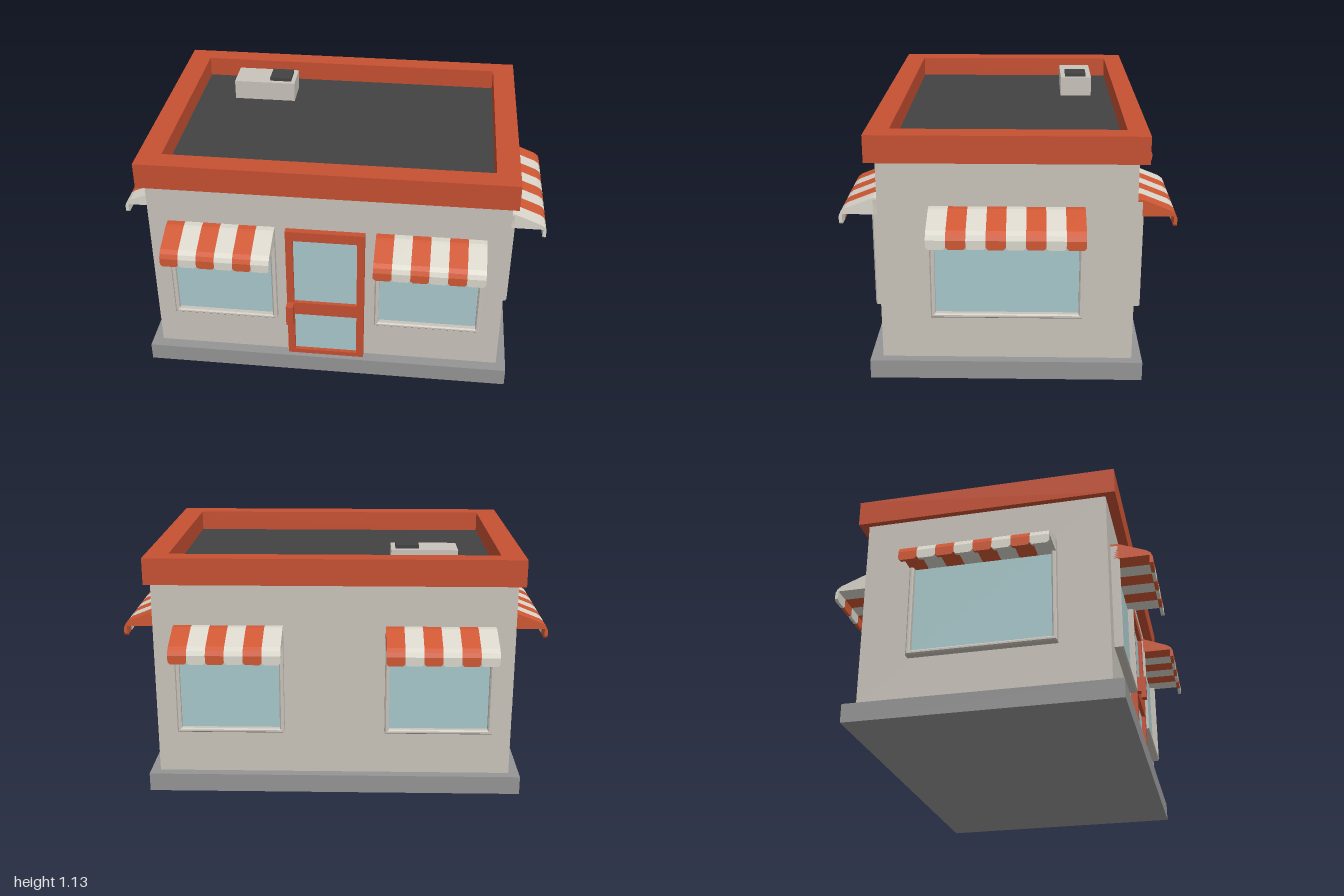
import * as THREE from 'three';

const material = (name, color) => {
  const m = new THREE.MeshStandardMaterial({ color });
  m.name = name;
  return m;
};
const wallMat = material('stucco', 0xc9c4bb);
const redMat = material('trim red', 0xc65032);
const awningRed = material('awning red', 0xd05834);
const awningPale = material('awning cream', 0xdad6cb);
const greyMat = material('concrete', 0x959595);
const darkMat = material('roof dark', 0x424242);
const glassMat = material('glass', 0xa8c8cb);

const add = (parent, name, geometry, mat) => {
  const mesh = new THREE.Mesh(geometry, mat);
  mesh.name = name;
  parent.add(mesh);
  return mesh;
};

// Box given by its limits on each axis
const box = (parent, name, mat, x0, x1, y0, y1, z0, z1) => {
  const mesh = add(parent, name, new THREE.BoxGeometry(x1 - x0, y1 - y0, z1 - z0), mat);
  mesh.position.set((x0 + x1) / 2, (y0 + y1) / 2, (z0 + z1) / 2);
  return mesh;
};

const polygon = (points) => new THREE.Shape(points.map(([x, y]) => new THREE.Vector2(x, y)));
const rect = (x0, x1, y0, y1) => polygon([[x0, y0], [x1, y0], [x1, y1], [x0, y1]]);

// Rectangular frame with rectangular openings, standing on the z = 0 plane
const frameGeometry = (outer, holes, depth, bevel = 0) => {
  const shape = rect(...outer);
  holes.forEach((h) => shape.holes.push(rect(...h)));
  return new THREE.ExtrudeGeometry(shape, {
    depth: depth - bevel,
    bevelEnabled: bevel > 0,
    bevelSize: bevel,
    bevelThickness: bevel,
    bevelOffset: -bevel,
    bevelSegments: 1,
  });
};

// Striped awning: a row of sloped solid strips, each with a clipped valance flap
const makeAwning = (width, count, redFirst) => {
  const awning = new THREE.Group();
  awning.name = 'awning';
  const w = width / count;
  const top = polygon([
    [0, 0.72], [0.168, 0.72], [0.168, 0.7], [0.183, 0.7], [0.183, 0.712],
    [0.174, 0.732], [0.155, 0.746], [0.045, 0.79], [0.03, 0.795], [0, 0.795],
  ]);
  const flap = polygon([
    [0, 0.7], [0, 0.682], [0.01, 0.672], [w - 0.01, 0.672], [w, 0.682], [w, 0.7],
  ]);
  for (let i = 0; i < count; i++) {
    const mat = (i % 2 === 0) === redFirst ? awningRed : awningPale;
    const x = -width / 2 + i * w;
    const strip = new THREE.ExtrudeGeometry(top, { depth: w, bevelEnabled: false });
    strip.rotateY(-Math.PI / 2).translate(x + w, 0, 0);
    add(awning, 'awningStripe', strip, mat);
    const valance = new THREE.ExtrudeGeometry(flap, { depth: 0.015, bevelEnabled: false });
    valance.translate(x, 0, 0.168);
    add(awning, 'awningValance', valance, mat);
  }
  return awning;
};

// Window with frame, recessed pane and awning, facing local +z
const makeWindow = (width, stripes, redFirst) => {
  const group = new THREE.Group();
  group.name = 'window';
  const h = width / 2;
  const frame = frameGeometry([-h, h, 0.292, 0.785], [[-h + 0.02, h - 0.02, 0.312, 0.765]], 0.038, 0.006);
  add(group, 'windowFrame', frame, wallMat);
  box(group, 'windowPane', glassMat, -h + 0.015, h - 0.015, 0.307, 0.77, 0.004, 0.012);
  group.add(makeAwning(width, stripes, redFirst));
  return group;
};

export function createModel() {
  const model = new THREE.Group();
  model.name = 'shop';

  // Slab and walls
  box(model, 'baseSlab', greyMat, -0.86, 0.856, 0, 0.085, -0.59, 0.608);
  box(model, 'walls', wallMat, -0.812, 0.812, 0.085, 1.0, -0.545, 0.555);

  // Parapet ring around a sunken flat roof
  const parapet = frameGeometry([-0.84, 0.835, -0.6, 0.587], [[-0.735, 0.732, -0.5, 0.497]], 0.12);
  parapet.rotateX(-Math.PI / 2).translate(0, 0.99, 0);
  add(model, 'parapet', parapet, redMat);
  box(model, 'roofDeck', darkMat, -0.737, 0.734, 1.0, 1.015, -0.499, 0.502);

  // Rooftop air unit with fan cover and end grille
  box(model, 'airUnit', wallMat, -0.555, -0.255, 1.01, 1.11, -0.4, -0.245);
  box(model, 'fanCover', darkMat, -0.38, -0.275, 1.108, 1.126, -0.372, -0.268);
  box(model, 'airGrille', darkMat, -0.558, -0.554, 1.03, 1.092, -0.38, -0.265);

  // Windows: x, z, turn, width, stripe count, red stripe first
  [
    [-0.477, 0.555, 0, 0.49, 6, true],
    [0.471, 0.555, 0, 0.49, 6, true],
    [-0.477, -0.545, Math.PI, 0.49, 6, true],
    [0.471, -0.545, Math.PI, 0.49, 6, true],
    [0.812, 0.005, Math.PI / 2, 0.66, 8, false],
    [-0.812, 0.005, -Math.PI / 2, 0.66, 8, true],
  ].forEach(([x, z, turn, width, stripes, redFirst]) => {
    const w = makeWindow(width, stripes, redFirst);
    w.position.set(x, 0, z);
    w.rotation.y = turn;
    model.add(w);
  });

  // Front door with two panes and a hooked handle
  const door = new THREE.Group();
  door.name = 'door';
  door.position.z = 0.555;
  const panes = [[-0.15, 0.143, 0.108, 0.325], [-0.15, 0.143, 0.393, 0.745]];
  add(door, 'doorFrame', frameGeometry([-0.183, 0.177, 0.085, 0.793], panes, 0.03), redMat);
  panes.forEach(([x0, x1, y0, y1]) => box(door, 'doorPane', glassMat, x0, x1, y0, y1, 0.004, 0.012));
  const handle = new THREE.ExtrudeGeometry(
    polygon([[0.028, 0.32], [0.05, 0.32], [0.05, 0.287], [0.072, 0.287], [0.072, 0.393], [0.028, 0.393]]),
    { depth: 0.033, bevelEnabled: false },
  );
  handle.rotateY(-Math.PI / 2).translate(-0.15, 0, 0);
  add(door, 'doorHandle', handle, redMat);
  model.add(door);

  return model;
}
